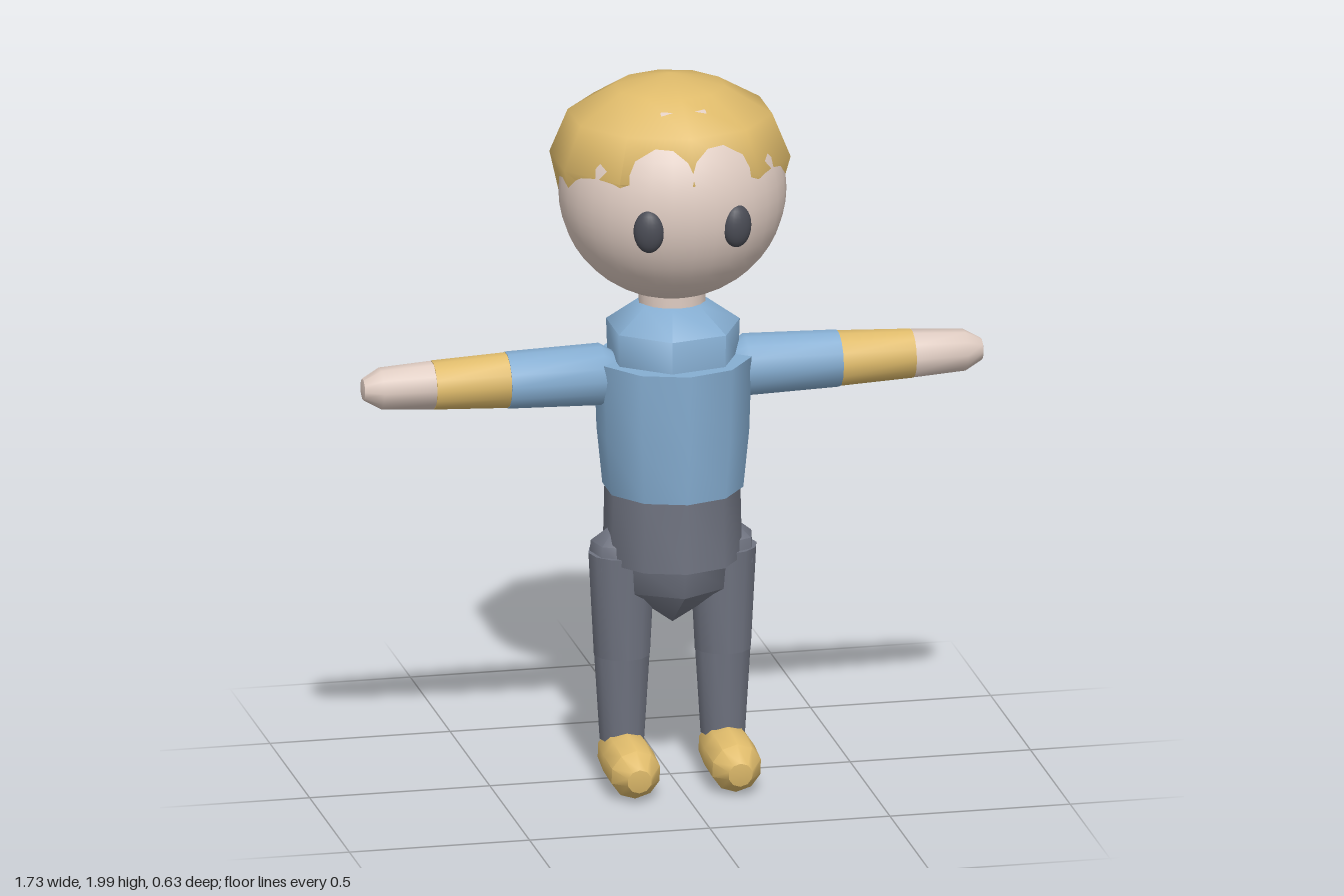
import * as THREE from 'three';
import { toCreasedNormals } from 'three/addons/utils/BufferGeometryUtils.js';

const material = (name, color) => {
  const m = new THREE.MeshStandardMaterial({ color });
  m.name = name;
  return m;
};

// Turned solid; profile is [radius, height] pairs from bottom to top
function turned(profile, sides = 10, crease = 0.8) {
  const points = profile.map(([r, y]) => new THREE.Vector2(r, y));
  return toCreasedNormals(new THREE.LatheGeometry(points, sides), crease);
}

export function createModel() {
  const skin = material('skin', 0xdfccc2);
  const yellow = material('yellow', 0xdfbb6b);
  const blue = material('blue', 0x86aed2);
  const grey = material('grey', 0x6f7380);
  const dark = material('dark grey', 0x4a4c55);

  const model = new THREE.Group();
  model.name = 'figure';
  const AXIS_Z = 0.035; // body axis

  const add = (name, geometry, mat, x = 0, y = 0, z = 0, parent = model) => {
    const mesh = new THREE.Mesh(geometry, mat);
    mesh.name = name;
    mesh.position.set(x, y, z);
    parent.add(mesh);
    return mesh;
  };

  // Head
  const head = add('head', new THREE.SphereGeometry(1, 32, 24), skin, 0, 1.68, 0.03);
  head.scale.set(0.31, 0.3, 0.29);

  // Hair: ten-sided cap whose lower rim dips towards the back
  const hairShape = new THREE.LatheGeometry(
    [[0, 1.62], [0.295, 1.62], [0.33, 1.77], [0.28, 1.89], [0.152, 1.965], [0, 2]]
      .map(([r, y]) => new THREE.Vector2(r, y)), 10);
  const p = hairShape.attributes.position;
  for (let i = 0; i < p.count; i++) {
    const rim = p.getY(i) < 1.7;
    const z = p.getZ(i) * (rim ? 0.8 : 0.93);
    p.setZ(i, z);
    if (rim) p.setY(i, p.getY(i) + 0.18 * z);
  }
  add('hair', toCreasedNormals(hairShape, 1.1), yellow);

  // Neck, shoulders, shirt
  add('neck', turned([[0.092, 1.3], [0.092, 1.42]], 16), skin, 0, 0, 0.025);
  const shoulders = turned([[0, 1.19], [0.182, 1.19], [0.186, 1.3], [0.095, 1.365], [0, 1.365]], 7, 1);
  shoulders.rotateY(Math.PI / 2);
  add('shoulders', shoulders, blue, 0, 0, AXIS_Z);
  add('shirt', turned([[0, 0.84], [0.192, 0.84], [0.208, 1.0], [0.215, 1.21], [0, 1.21]]), blue, 0, 0, AXIS_Z);

  // Trousers top and pelvis
  add('waist', turned([[0, 0.64], [0.19, 0.64], [0.185, 0.85], [0, 0.85]]), grey, 0, 0, 0.03);
  add('pelvis', turned([[0, 0.45], [0.155, 0.56], [0.166, 0.66], [0, 0.66]], 6, 1.1), grey, 0, 0, 0.03);

  for (const s of [1, -1]) {
    const side = s > 0 ? 'left' : 'right';

    // Eye
    const eye = add(`${side}Eye`, new THREE.SphereGeometry(1, 20, 14), dark, s * 0.122, 1.645, 0.288);
    eye.scale.set(0.042, 0.06, 0.03);
    eye.rotation.y = s * 0.3;

    // Arm, turned along its length and laid out sideways
    const arm = new THREE.Group();
    arm.name = `${side}Arm`;
    arm.position.set(0, 1.165, 0.025);
    arm.rotation.z = -s * Math.PI / 2;
    model.add(arm);
    add('sleeve', turned([[0, 0.15], [0.06, 0.16], [0.085, 0.2], [0.078, 0.46], [0, 0.46]], 14), blue, 0, 0, 0, arm);
    add('forearm', turned([[0, 0.455], [0.076, 0.46], [0.067, 0.665], [0, 0.665]], 14), yellow, 0, 0, 0, arm);
    add('hand', turned([[0, 0.66], [0.066, 0.665], [0.057, 0.81], [0.03, 0.858], [0, 0.865]], 10), skin, 0, 0, 0, arm);

    // Leg
    const leg = new THREE.Group();
    leg.name = `${side}Leg`;
    leg.position.set(s * 0.14, 0, 0.03);
    model.add(leg);
    add('hipJoint', turned([[0.09, 0.62], [0.085, 0.69], [0.04, 0.725], [0, 0.73]], 7, 1), grey, 0, 0, 0, leg);
    add('thigh', turned([[0, 0.37], [0.078, 0.37], [0.093, 0.66], [0, 0.66]], 12), grey, 0, 0, 0, leg);
    add('shin', turned([[0, 0.13], [0.062, 0.13], [0.077, 0.37], [0, 0.37]], 12), grey, 0, 0, 0, leg);

    // Shoe, turned along its length with the toe forward
    const shoe = add('shoe', turned([
      [0, -0.065], [0.032, -0.062], [0.068, -0.01], [0.073, 0.08], [0.07, 0.175], [0.034, 0.225], [0, 0.23],
    ], 10), yellow, 0, 0.094, 0, leg);
    shoe.rotation.x = Math.PI / 2 + 0.1;
  }

  return model;
}
